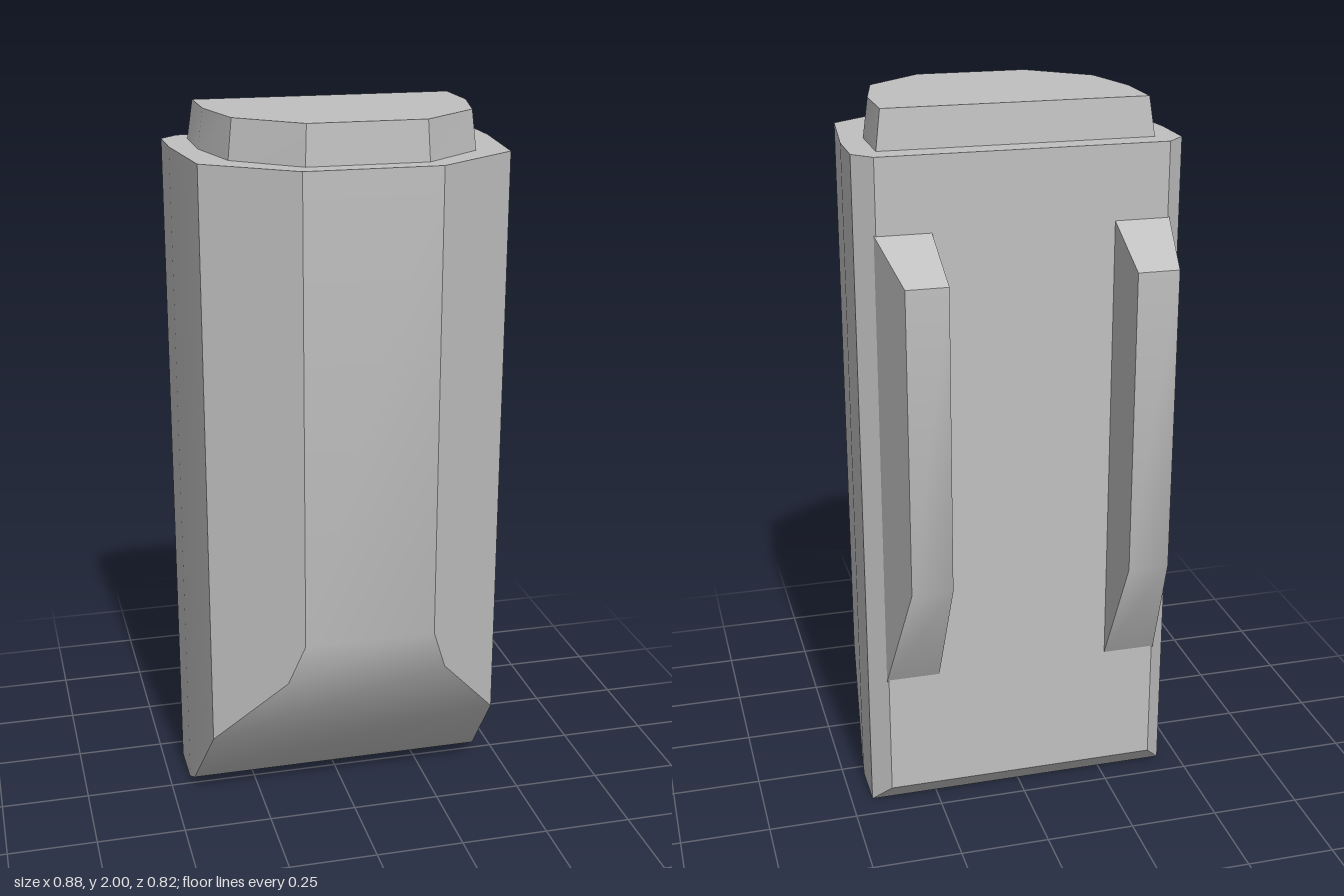
import * as THREE from 'three';
import { toCreasedNormals } from 'three/addons/utils/BufferGeometryUtils.js';

// Solid through rings listed bottom to top, each counterclockwise from above
function loft(rings, crease = 0.6) {
  const pos = [];
  const tri = (a, b, c) => {
    const [p, q, r] = [a, b, c].map((v) => new THREE.Vector3(...v));
    if (q.clone().sub(p).cross(r.clone().sub(p)).length() > 1e-7) pos.push(...a, ...b, ...c);
  };
  const n = rings[0].length;
  for (let i = 0; i < rings.length - 1; i++) {
    for (let k = 0; k < n; k++) {
      const m = (k + 1) % n, lo = rings[i], hi = rings[i + 1];
      tri(lo[k], lo[m], hi[m]);
      tri(lo[k], hi[m], hi[k]);
    }
  }
  const bottom = rings[0], top = rings[rings.length - 1];
  for (let k = 1; k < n - 1; k++) {
    tri(top[0], top[k], top[k + 1]);
    tri(bottom[0], bottom[k + 1], bottom[k]);
  }
  const g = new THREE.BufferGeometry();
  g.setAttribute('position', new THREE.Float32BufferAttribute(pos, 3));
  return toCreasedNormals(g, crease);
}

// Full ring from the +x half outline, given front to back as [x, z]
const ring = (half, y) => [
  ...half.map(([x, z]) => [x, y, z]),
  ...half.map(([x, z]) => [-x, y, z]).reverse(),
];

// Half outline of the body
const outline = [[0.18, 0.41], [0.41, 0.245], [0.44, -0.03], [0.44, -0.175], [0.39, -0.225]];

// Half width of the outline at depth z
function widthAt(z) {
  for (let i = 0; i < outline.length - 1; i++) {
    const [x0, z0] = outline[i], [x1, z1] = outline[i + 1];
    if (z <= z0 && z >= z1) return x0 + ((x1 - x0) * (z0 - z)) / (z0 - z1);
  }
  return outline[0][0];
}

export function createModel() {
  const group = new THREE.Group();
  const grey = new THREE.MeshStandardMaterial({ color: 0xc0c0c0 });
  grey.name = 'grey';
  const add = (name, geometry) => {
    const mesh = new THREE.Mesh(geometry, grey);
    mesh.name = name;
    group.add(mesh);
  };

  // Body: [height, front limit, back limit], the outline cut off at both limits
  const levels = [
    [0, -0.04, -0.175], [0.03, 0.02, -0.2], [0.06, 0.047, -0.225], [0.28, 0.245, -0.225],
    [0.5, 0.38, -0.225], [0.62, 0.41, -0.225], [1.895, 0.41, -0.225],
  ];
  add('body', loft(levels.map(([y, front, back]) => ring(outline.map(([x, z]) => {
    const c = Math.max(back, Math.min(front, z));
    return c === z ? [x, z] : [widthAt(c), c];
  }), y))));

  // Raised top cap, slightly tapered
  add('topCap', loft([
    ring([[0.16, 0.353], [0.327, 0.212], [0.372, 0.022], [0.372, -0.158]], 1.89),
    ring([[0.155, 0.345], [0.315, 0.205], [0.357, 0.02], [0.357, -0.147]], 2),
  ]));

  // Pair of wedge-shaped rear rails
  for (const side of [1, -1]) {
    const section = (yFront, yBack) => {
      const r = [
        [0.395, yFront, -0.222], [0.357, yBack, -0.415],
        [0.245, yBack, -0.415], [0.245, yFront, -0.222],
      ].map(([x, y, z]) => [x * side, y, z]);
      return side > 0 ? r : r.reverse();
    };
    add(side > 0 ? 'leftRearRail' : 'rightRearRail', loft([section(0.41, 0.77), section(1.695, 1.605)]));
  }
  return group;
}
